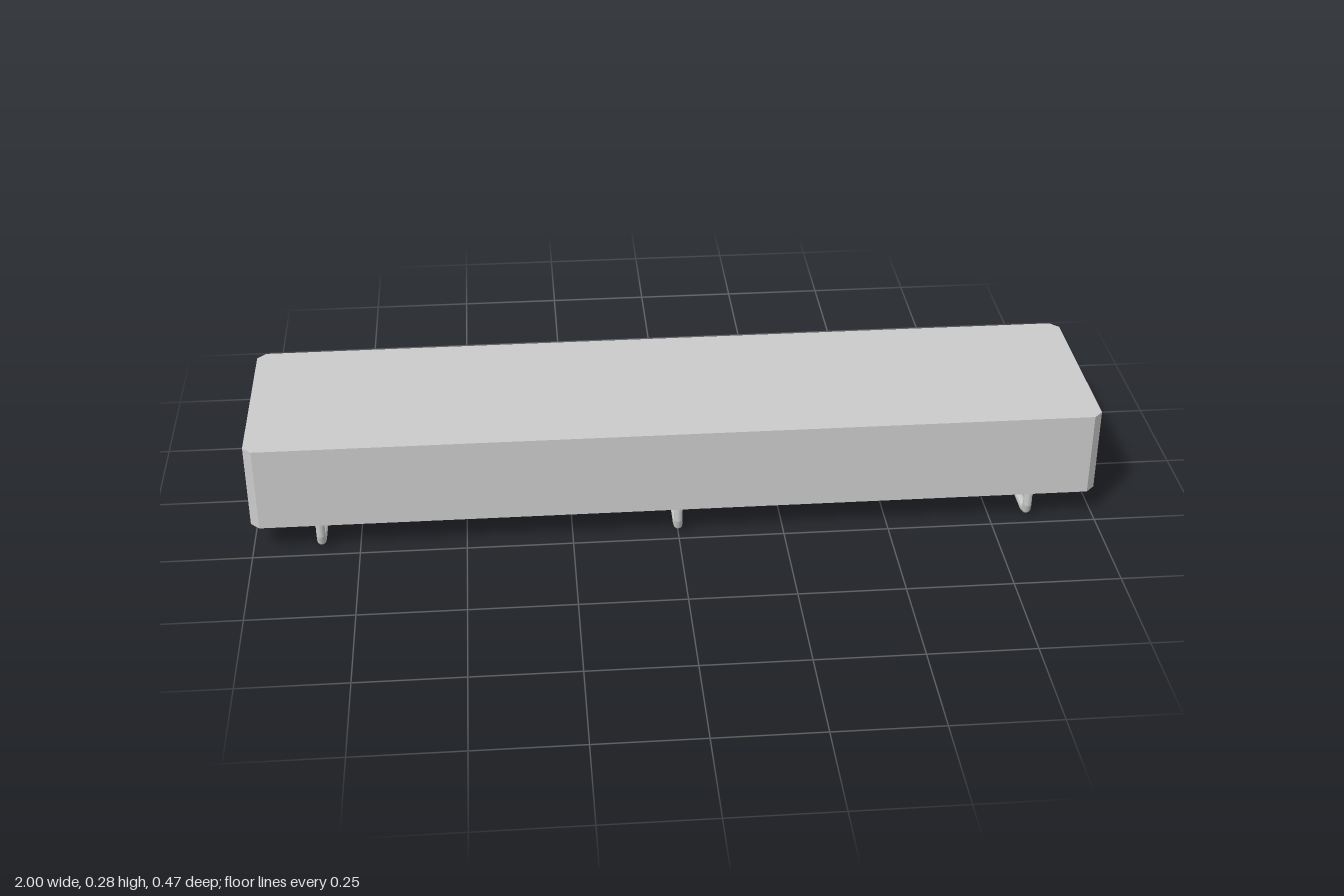
import * as THREE from 'three';

const material = new THREE.MeshStandardMaterial({ color: 0xcccccc });

// Rectangle in plan with cut corners
function cutCorners(target, w, d, c) {
  const pts = [[w - c, -d], [w, -d + c], [w, d - c], [w - c, d],
    [-w + c, d], [-w, d - c], [-w, -d + c], [-w + c, -d]];
  target.setFromPoints(pts.map(([x, y]) => new THREE.Vector2(x, y)));
  return target;
}

// Upright extrusion of a plan shape from y0 to y1
function slab(shape, y0, y1) {
  const g = new THREE.ExtrudeGeometry(shape, { depth: y1 - y0, bevelEnabled: false });
  g.rotateX(-Math.PI / 2);
  g.translate(0, y0, 0);
  return g;
}

// Guard wire along x: two short legs, two-step bends and a straight run
function wireGeometry(half, top, low, bend) {
  const v = (x, y) => new THREE.Vector3(x, y, 0);
  const leftSide = [v(-half, top), v(-half, low + bend),
    v(-half + bend * 0.22, low + bend * 0.28), v(-half + bend, low)];
  const rightSide = leftSide.map((p) => v(-p.x, p.y)).reverse();
  const pts = [...leftSide, ...rightSide];
  const line = new THREE.CurvePath();
  for (let i = 1; i < pts.length; i++) line.add(new THREE.LineCurve3(pts[i - 1], pts[i]));
  return new THREE.TubeGeometry(line, 240, 0.0105, 12, false);
}

export function createModel() {
  const model = new THREE.Group();
  const add = (name, geometry, parent = model) => {
    const mesh = new THREE.Mesh(geometry, material);
    mesh.name = name;
    parent.add(mesh);
    return mesh;
  };

  // Open-bottomed housing
  const walls = cutCorners(new THREE.Shape(), 1, 0.235, 0.021);
  walls.holes.push(cutCorners(new THREE.Path(), 0.976, 0.211, 0.016));
  add('housingWalls', slab(walls, 0.071, 0.256));
  add('housingTop', slab(cutCorners(new THREE.Shape(), 1, 0.235, 0.021), 0.256, 0.277));

  // Two lamp tubes, each with end caps and holders
  for (const z of [-0.082, 0.082]) {
    const tube = add('lampTube', new THREE.CylinderGeometry(0.036, 0.036, 1.84, 24));
    tube.rotation.z = Math.PI / 2;
    tube.position.set(0, 0.155, z);
    for (const s of [-1, 1]) {
      const cap = add('lampEndCap', new THREE.CylinderGeometry(0.05, 0.05, 0.03, 24));
      cap.rotation.z = Math.PI / 2;
      cap.position.set(s * 0.925, 0.155, z);
      const holder = add('lampHolder', new THREE.BoxGeometry(0.036, 0.06, 0.06));
      holder.position.set(s * 0.958, 0.155, z);
    }
  }

  // Wire with a collar where each leg meets the rim
  const guardWire = (name, half, low, bend) => {
    const group = new THREE.Group();
    group.name = name;
    add('wire', wireGeometry(half, 0.075, low, bend), group);
    for (const s of [-1, 1]) {
      const collar = add('collar', new THREE.CylinderGeometry(0.012, 0.012, 0.008, 12), group);
      collar.position.set(s * half, 0.068, 0);
    }
    model.add(group);
    return group;
  };

  // Three wires across, two along
  for (const x of [-0.84, 0, 0.84]) {
    const wire = guardWire('crossGuardWire', 0.223, 0.0105, 0.026);
    wire.rotation.y = Math.PI / 2;
    wire.position.x = x;
  }
  for (const z of [-0.082, 0.082]) {
    guardWire('longGuardWire', 0.986, 0.0325, 0.024).position.z = z;
  }

  return model;
}
